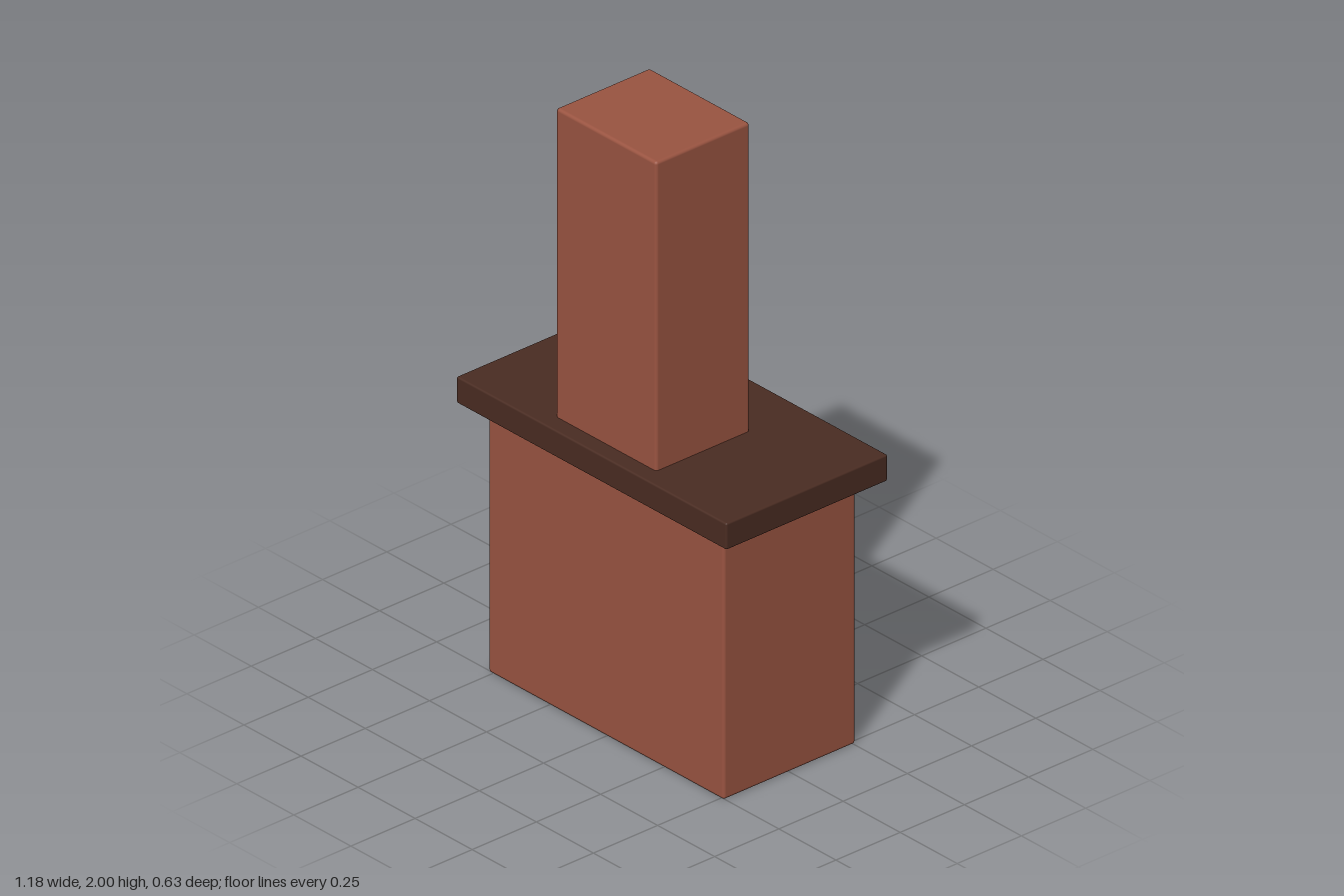
import * as THREE from 'three';
import { RoundedBoxGeometry } from 'three/addons/geometries/RoundedBoxGeometry.js';
import { mergeVertices } from 'three/addons/utils/BufferGeometryUtils.js';

// Box between two corners, with slightly eased edges
function block(name, material, min, max, radius) {
  const size = max.map((v, i) => v - min[i]);
  const mesh = new THREE.Mesh(new RoundedBoxGeometry(...size, 2, radius), material);
  mesh.position.set(...min.map((v, i) => (v + max[i]) / 2));
  mesh.name = name;
  return mesh;
}

// Box whose corners share one soft normal, for a rounded glow across its faces
function softBlock(name, material, min, max) {
  const size = max.map((v, i) => v - min[i]);
  let geometry = new THREE.BoxGeometry(...size);
  geometry.deleteAttribute('uv');
  geometry.deleteAttribute('normal');
  geometry = mergeVertices(geometry);
  const p = geometry.attributes.position;
  const normals = new Float32Array(p.count * 3);
  for (let i = 0; i < p.count; i++) {
    new THREE.Vector3(Math.sign(p.getX(i)), Math.sign(p.getY(i)), Math.sign(p.getZ(i)))
      .normalize().toArray(normals, i * 3);
  }
  geometry.setAttribute('normal', new THREE.BufferAttribute(normals, 3));
  const mesh = new THREE.Mesh(geometry, material);
  mesh.position.set(...min.map((v, i) => (v + max[i]) / 2));
  mesh.name = name;
  return mesh;
}

export function createModel() {
  const brick = new THREE.MeshStandardMaterial({ name: 'brick', color: 0x9a5441 });
  const darkWood = new THREE.MeshStandardMaterial({ name: 'darkWood', color: 0x4a2c22 });
  const ember = new THREE.MeshStandardMaterial({ name: 'ember', color: 0xe58424 });

  const model = new THREE.Group();
  model.name = 'fireplace';
  model.add(
    // Masonry
    block('hearthBody', brick, [-0.516, 0, -0.257], [0.516, 0.886, 0.257], 0.01),
    block('chimney', brick, [-0.22, 0.96, -0.108], [0.22, 2, 0.257], 0.01),
    // Mantel slab between body and chimney
    block('mantel', darkWood, [-0.592, 0.885, -0.314], [0.592, 0.973, 0.314], 0.006),
    // Firebox opening and glowing fire on the back face
    softBlock('fireboxOpening', darkWood, [-0.303, 0.115, -0.273], [0.303, 0.56, -0.24]),
    softBlock('fire', ember, [-0.23, 0.13, -0.294], [0.23, 0.32, -0.25]),
  );
  return model;
}
